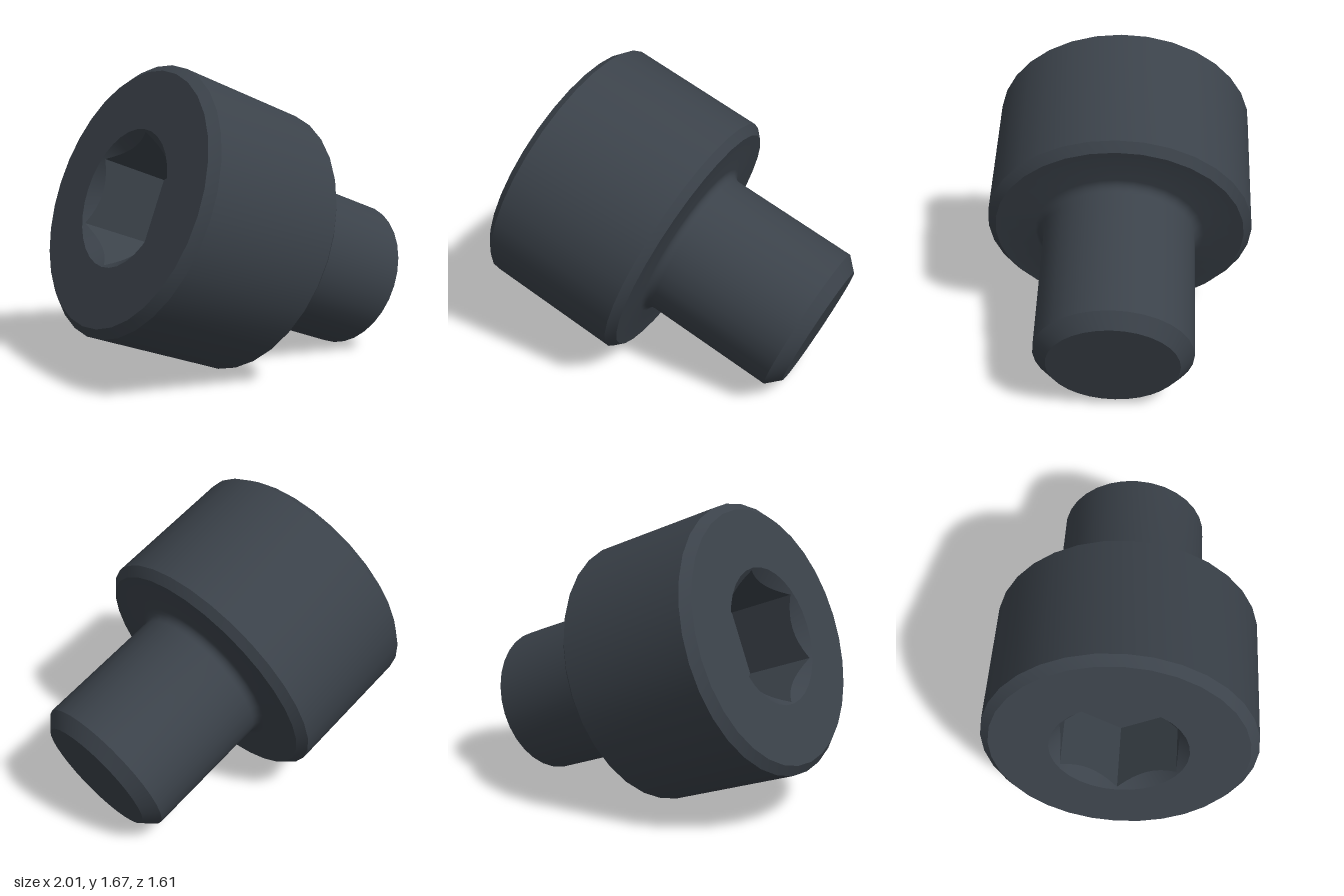
import * as THREE from 'three';
import { toCreasedNormals } from 'three/addons/utils/BufferGeometryUtils.js';

const CREASE = 0.5;

// Lathe profile of head, fillet, shank and chamfered tip: [radius, distance along axis]
function bodyGeometry() {
  const pts = [[0.377, -0.785], [0.7, -0.785], [0.746, -0.74], [0.746, 0.04], [0.7, 0.085]];
  const fillet = 0.05, shank = 0.426;
  for (let i = 0; i <= 5; i++) {
    const a = (i / 5) * Math.PI / 2;
    pts.push([shank + fillet * (1 - Math.sin(a)), 0.085 + fillet * (1 - Math.cos(a))]);
  }
  pts.push([shank, 0.873], [0.354, 0.945], [0, 0.945]);
  const lathe = new THREE.LatheGeometry(pts.map(([r, t]) => new THREE.Vector2(r, t)), 32);
  return toCreasedNormals(lathe, CREASE);
}

// Hexagonal recess with a conical countersink cutting scallops into its walls
function socketGeometry() {
  const segments = 48, open = 0.378, hex = 0.366, face = -0.785, floor = -0.37;
  const apothem = hex * Math.cos(Math.PI / 6);
  const rows = [[0, floor], [hex, floor], [hex, face], [open, face]];
  const g = new THREE.LatheGeometry(rows.map(([r, t]) => new THREE.Vector2(r, t)), segments);
  const pos = g.attributes.position;
  for (let i = 0; i <= segments; i++) {
    const phi = (i / segments) * Math.PI * 2;
    const r = apothem / Math.cos((phi % (Math.PI / 3)) - Math.PI / 6);
    const x = r * Math.sin(phi), z = r * Math.cos(phi);
    pos.setXYZ(i * 4 + 1, x, floor, z);
    pos.setXYZ(i * 4 + 2, x, face + open - r, z);
  }
  return toCreasedNormals(g, CREASE);
}

export function createModel() {
  const steel = new THREE.MeshStandardMaterial({ color: 0x3b424a });
  steel.name = 'dark steel';

  const bolt = new THREE.Group();
  bolt.name = 'socketHeadBolt';
  const add = (name, geometry) => {
    const mesh = new THREE.Mesh(geometry, steel);
    mesh.name = name;
    bolt.add(mesh);
  };
  add('headAndShank', bodyGeometry());
  add('hexSocket', socketGeometry());

  // Tilt: local y runs from head to tip, local z points at one socket corner
  const axis = new THREE.Vector3(1, -0.392, 0.212).normalize();
  const corner = new THREE.Vector3(-0.123, -0.329, -0.028);
  corner.addScaledVector(axis, -corner.dot(axis)).normalize();
  const side = new THREE.Vector3().crossVectors(axis, corner);
  bolt.quaternion.setFromRotationMatrix(new THREE.Matrix4().makeBasis(side, axis, corner));
  bolt.position.set(0, 0.717, 0.063);

  const model = new THREE.Group();
  model.name = 'model';
  model.add(bolt);
  return model;
}
